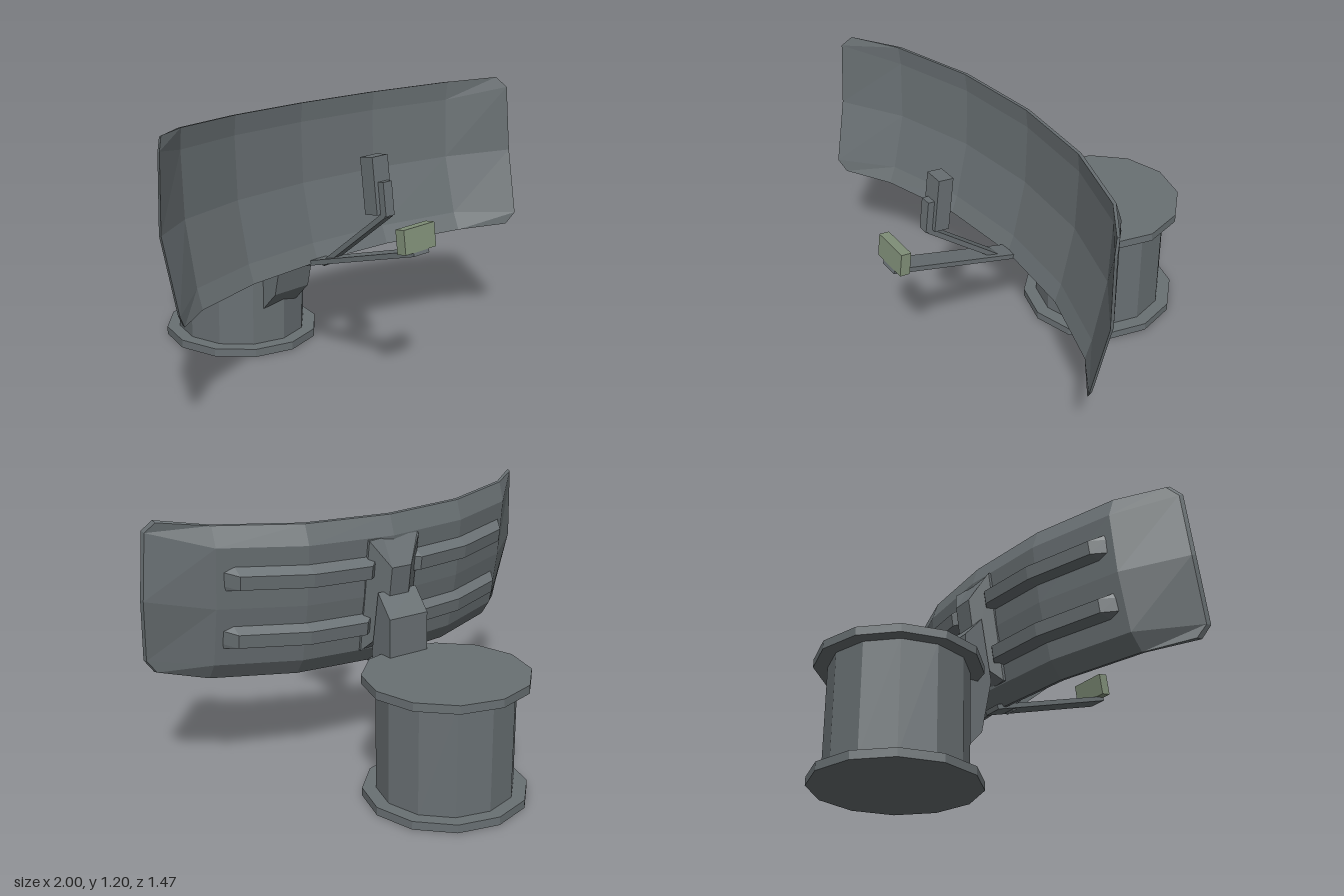
import * as THREE from 'three';

const TILT = -0.148; // backward lean of the reflector

// Skin closed rings (front edge upward, back edge downward) laid out along +x.
function loft(rings) {
  const n = rings[0].length, pos = [];
  const quad = (a, b, c, d) => pos.push(...a, ...b, ...c, ...a, ...c, ...d);
  for (let i = 0; i < rings.length - 1; i++) {
    for (let j = 0; j < n; j++) {
      const k = (j + 1) % n;
      quad(rings[i][j], rings[i + 1][j], rings[i + 1][k], rings[i][k]);
    }
  }
  const s = rings[0], e = rings[rings.length - 1];
  for (let j = 0; j < n / 2 - 1; j++) {
    quad(s[j], s[j + 1], s[n - 2 - j], s[n - 1 - j]);
    quad(e[n - 1 - j], e[n - 2 - j], e[j + 1], e[j]);
  }
  const g = new THREE.BufferGeometry();
  g.setAttribute('position', new THREE.Float32BufferAttribute(pos, 3));
  g.computeVertexNormals();
  return g;
}

export function createModel() {
  const root = new THREE.Group();
  root.name = 'radarAntenna';
  const grey = new THREE.MeshStandardMaterial({ color: 0x697073, flatShading: true });
  grey.name = 'steel grey';
  const green = new THREE.MeshStandardMaterial({ color: 0x82917a, flatShading: true });
  green.name = 'pale green';

  const add = (name, geo, mat = grey, parent = root) => {
    const m = new THREE.Mesh(geo, mat);
    m.name = name;
    parent.add(m);
    return m;
  };

  // Drum pedestal with two flanges
  const drum = (name, r, y0, y1) =>
    add(name, new THREE.CylinderGeometry(r, r, y1 - y0, 12)).position.set(0, (y0 + y1) / 2, -0.375);
  drum('pedestalBody', 0.3, 0.03, 0.53);
  drum('bottomFlange', 0.36, 0, 0.037);
  drum('topFlange', 0.36, 0.52, 0.557);

  // Bracket joining drum and reflector
  const side = [[0.29, -0.02], [0.54, 0.03], [0.83, -0.02], [0.73, -0.107], [0.46, -0.107], [0.195, -0.107]];
  add('mountBracket', loft([-0.1, 0.1].map(x => side.map(([y, z]) => [x, y, z]))));

  // Tilted reflector assembly
  const dish = new THREE.Group();
  dish.name = 'reflectorAssembly';
  dish.position.set(0, 0.81, 0.0975);
  dish.rotation.x = TILT;
  root.add(dish);

  const cols = [0, 0.4, 0.76, 0.95], depths = [0, 0.04, 0.165, 0.3];
  const depth = x => {
    const a = Math.abs(x);
    let i = 0;
    while (i < 2 && a > cols[i + 1]) i++;
    return depths[i] + (depths[i + 1] - depths[i]) * (a - cols[i]) / (cols[i + 1] - cols[i]);
  };
  const rows = [-0.347, -0.265, 0, 0.265, 0.347];
  const frontW = [0, -0.02, -0.045, -0.02, 0];
  const backW = [-0.016, -0.058, -0.07, -0.058, -0.016];
  const inner = x => [
    ...rows.map((v, i) => [x, v, depth(x) + frontW[i]]),
    ...rows.map((v, i) => [x, v, depth(x) + backW[i]]).reverse(),
  ];
  // Clipped-corner tip of the reflector
  const tip = s => {
    const front = [[0.945, -0.345, 0.3], [0.98, -0.295, 0.33], [1, 0, 0.305], [0.98, 0.295, 0.33], [0.945, 0.345, 0.3]];
    return [
      ...front.map(([x, v, w]) => [s * x, v, w]),
      ...front.map(([x, v, w]) => [s * (x - 0.005), v * 0.985, w - 0.02]).reverse(),
    ];
  };
  add('reflector', loft([tip(-1), ...[-0.76, -0.4, 0, 0.4, 0.76].map(inner), tip(1)]), grey, dish);

  // Horizontal stiffening ribs on the back, tapered at both ends
  const stations = [[0.07, 0], [0.13, 1], [0.4, 1], [0.69, 1], [0.73, 0]];
  for (const sx of [-1, 1]) {
    for (const v of [0.131, -0.133]) {
      const rings = stations.map(([x, raised]) => {
        const base = depth(x) - 0.055, out = base - 0.008 - 0.052 * raised;
        return [[sx * x, v - 0.055, base], [sx * x, v + 0.055, base],
          [sx * x, v + 0.03, out], [sx * x, v - 0.03, out]];
      });
      if (sx < 0) rings.reverse();
      add('backRib', loft(rings), grey, dish);
    }
  }

  // Central boss on the back
  add('centreBoss', loft([[-0.13, 0.26, -0.062], [-0.05, 0.151, -0.132], [0.05, 0.151, -0.132], [0.13, 0.26, -0.062]]
    .map(([x, h, w]) => [[x, -0.26, -0.05], [x, 0.26, -0.05], [x, h, w], [x, -h, w]])), grey, dish);

  // Bars running between two [y, z] points
  const bar = (name, a, b, width, thick) => {
    const dy = b[0] - a[0], dz = b[1] - a[1];
    const m = add(name, new THREE.BoxGeometry(width, thick, Math.hypot(dy, dz)));
    m.position.set(0, (a[0] + b[0]) / 2, (a[1] + b[1]) / 2);
    m.rotation.x = -Math.atan2(dy, dz);
  };
  bar('lowerFeedArm', [0.457, 0.105], [0.655, 0.732], 0.09, 0.022);
  bar('upperFeedStrut', [0.475, 0.2], [0.768, 0.55], 0.05, 0.022);

  // Feed heads, leaning with the reflector
  const head = (name, w, h, d, y, z, mat) => {
    const m = add(name, new THREE.BoxGeometry(w, h, d), mat);
    m.position.set(0, y, z);
    m.rotation.x = TILT;
  };
  head('upperFeedBox', 0.09, 0.235, 0.067, 0.88, 0.484);
  head('upperFeedPlate', 0.05, 0.14, 0.032, 0.832, 0.538);
  head('lowerFeedHead', 0.18, 0.1, 0.044, 0.705, 0.702, green);

  return root;
}
